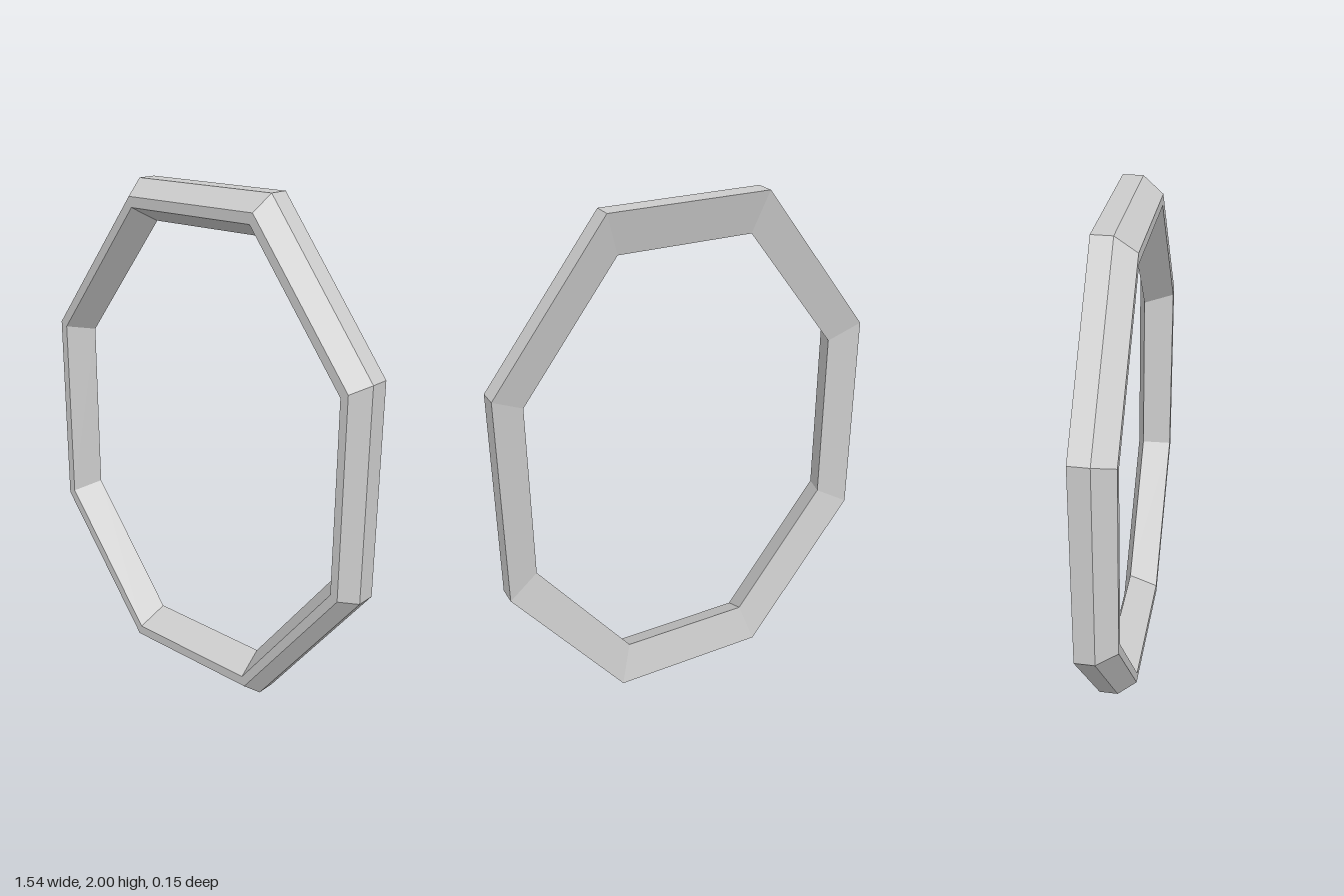
import * as THREE from 'three';

export function createModel() {
  const group = new THREE.Group();
  group.name = 'octagonalFrame';

  // Closed five-sided cross-section: [distance from centre to side, depth]
  const profile = [
    [1, -0.077],    // outer back edge
    [1, 0],         // start of outer bevel
    [0.94, 0.077],  // front rim, outer
    [0.9, 0.077],   // front rim, inner
    [0.84, -0.04],  // opening edge
    [1, -0.077],
  ].map(([r, z]) => new THREE.Vector2(r / Math.cos(Math.PI / 8), z));

  // Eight-sided ring, turned to face front and narrowed to an upright oval
  const geometry = new THREE.LatheGeometry(profile, 8, Math.PI / 8)
    .rotateX(Math.PI / 2)
    .scale(0.768, 1, 1)
    .translate(0, 1, 0)
    .toNonIndexed();
  geometry.computeVertexNormals();

  const frame = new THREE.Mesh(
    geometry,
    new THREE.MeshStandardMaterial({ color: 0xcccccc, flatShading: true })
  );
  frame.name = 'frame';
  group.add(frame);
  return group;
}
